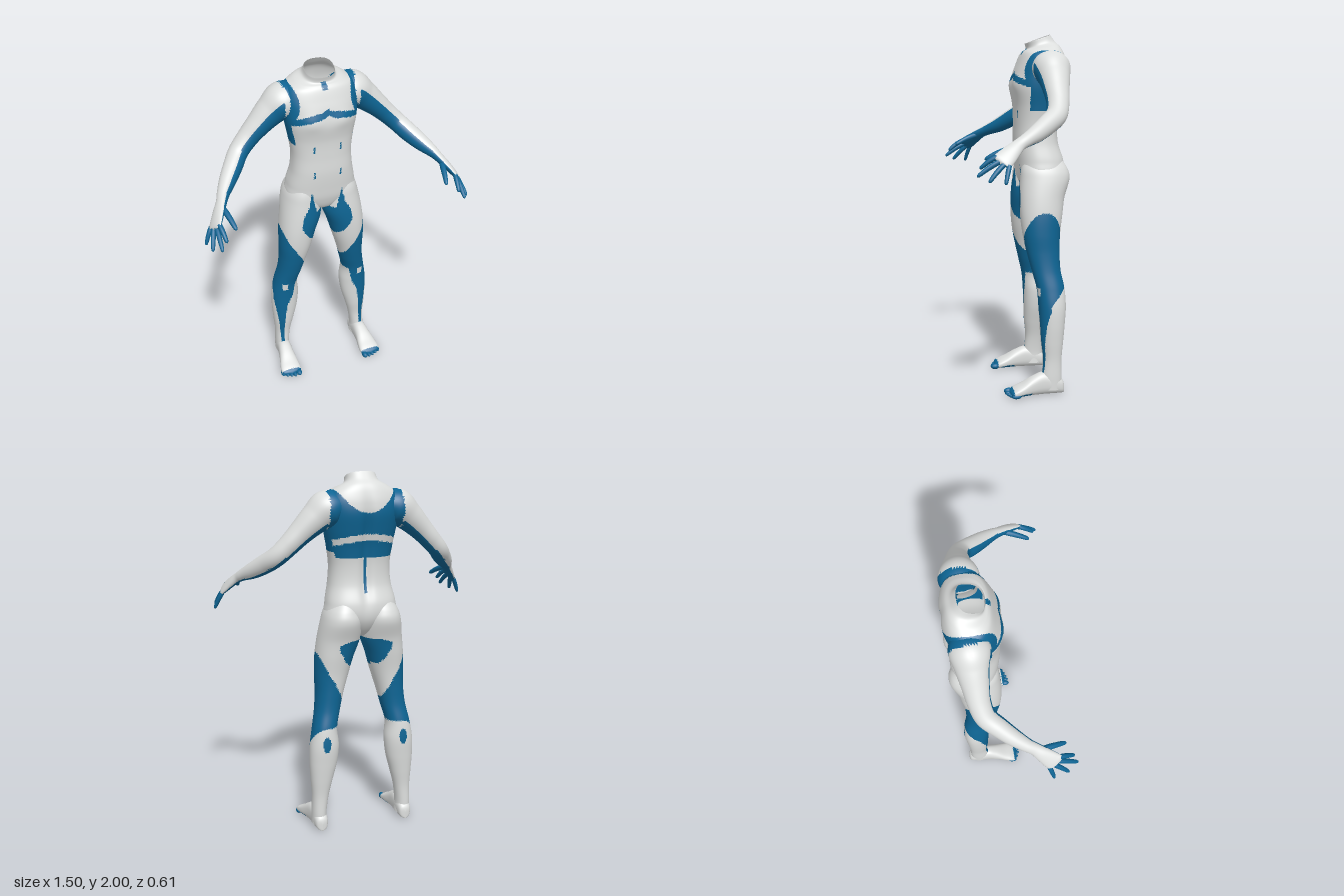
import * as THREE from 'three';

const suitGrey = new THREE.MeshStandardMaterial({ color: 0xdcdedd, side: THREE.DoubleSide });
suitGrey.name = 'suitGrey';
const suitBlue = new THREE.MeshStandardMaterial({ color: 0x0e6594, side: THREE.DoubleSide });
suitBlue.name = 'suitBlue';

const { abs, cos, sin, exp, min, max, sign, pow, PI } = Math;

// Smooth interpolation through rows of key numbers, t in 0..1
function sample(rows, t) {
  const f = t * (rows.length - 1), i = min(Math.floor(f), rows.length - 2), u = f - i;
  const [p, q, r, s] = [-1, 0, 1, 2].map(k => rows[min(max(i + k, 0), rows.length - 1)]);
  return q.map((_, k) => q[k] + 0.5 * u * (r[k] - p[k] + u * (2 * p[k] - 5 * q[k] + 4 * r[k] - s[k]
    + u * (3 * (q[k] - r[k]) + s[k] - p[k]))));
}

// Straight interpolation in a table of [input, output]
function table(list, v) {
  if (v <= list[0][0]) return list[0][1];
  for (let i = 1; i < list.length; i++) {
    const [a, b] = list[i - 1], [c, d] = list[i];
    if (v <= c) return b + (d - b) * (v - a) / (c - a);
  }
  return list[list.length - 1][1];
}

const bulge = (v, n) => sign(v) * pow(abs(v), 2 / n);

// Closed skin over rings: point(t, angle) returns [x, y, z]
function skin(rows, cols, point) {
  const pos = [], index = [];
  for (let i = 0; i <= rows; i++) {
    for (let j = 0; j < cols; j++) pos.push(...point(i / rows, j / cols * 2 * PI));
  }
  for (let i = 0; i < rows; i++) {
    for (let j = 0; j < cols; j++) {
      const a = i * cols + j, b = i * cols + (j + 1) % cols;
      index.push(a, a + cols, b, b, a + cols, b + cols);
    }
  }
  const g = new THREE.BufferGeometry();
  g.setAttribute('position', new THREE.Float32BufferAttribute(pos, 3));
  g.setIndex(index);
  g.computeVertexNormals();
  return g;
}

// Limb along a path; rows are [x, y, z, thickness radius, width radius], width lies toward z
function limb(path, rows, cols) {
  const zAxis = new THREE.Vector3(0, 0, 1);
  return skin(rows, cols, (t, th) => {
    const c = sample(path, t);
    const p = sample(path, max(0, t - 0.01)), q = sample(path, min(1, t + 0.01));
    const tan = new THREE.Vector3(q[0] - p[0], q[1] - p[1], q[2] - p[2]).normalize();
    const b = zAxis.clone().addScaledVector(tan, -tan.z).normalize();
    const a = tan.clone().cross(b);
    const v = new THREE.Vector3(c[0], c[1], c[2])
      .addScaledVector(a, max(0, c[3]) * cos(th)).addScaledVector(b, max(0, c[4]) * sin(th));
    return [v.x, v.y, v.z];
  });
}

// Sort triangles into grey and blue groups by a rule on centre and normal
function paint(g, rule) {
  const P = g.attributes.position, idx = g.index.array, sets = [[], []];
  const A = new THREE.Vector3(), B = new THREE.Vector3(), C = new THREE.Vector3();
  for (let i = 0; i < idx.length; i += 3) {
    A.fromBufferAttribute(P, idx[i]); B.fromBufferAttribute(P, idx[i + 1]); C.fromBufferAttribute(P, idx[i + 2]);
    const m = A.clone().add(B).add(C).divideScalar(3);
    const n = B.sub(A).cross(C.sub(A)).normalize();
    sets[rule(abs(m.x), m.y, m.z, n) ? 1 : 0].push(idx[i], idx[i + 1], idx[i + 2]);
  }
  g.setIndex([...sets[0], ...sets[1]]);
  g.addGroup(0, sets[0].length, 0);
  g.addGroup(sets[0].length, sets[1].length, 1);
  return g;
}

function mirrored(g) {
  const m = g.clone().scale(-1, 1, 1), a = m.index.array;
  for (let i = 0; i < a.length; i += 3) [a[i], a[i + 2]] = [a[i + 2], a[i]];
  return m;
}

// Chest straps, chest band, back yoke and small marks
function torsoBlue(a, y, z, n) {
  if (z > -0.12 && n.z > 0) {
    if (abs(y - 1.765 + 0.035 * (a / 0.17) ** 2 - 0.015 * exp(-((a / 0.02) ** 2))) < 0.017 && a < 0.2) return true;
    if (a < 0.014 && y > 1.89 && y < 1.925) return true;
    if (abs(a - 0.075) < 0.004 && (abs(y - 1.56) < 0.02 || abs(y - 1.4) < 0.02)) return true;
  }
  if (z > -0.2 && y > 1.72 && abs(a - 0.162 - 3.5 * (y - 1.83) ** 2) < 0.02) return true;
  if (z <= -0.07 && z > -0.2 && a > 0.16 && a < 0.24 && y > 1.58 && y < 1.74) return true;
  if (z <= -0.2) {
    if (a < 0.006 && y > 1.36 && y < 1.56) return true;
    const top = 1.79 + 0.13 * (a / 0.17) ** 2, band = 1.66 - 0.04 * (a / 0.2) ** 2;
    return a < 0.205 && y < top && y > 1.55 && abs(y - band) > 0.018;
  }
  return false;
}

// Inner thigh patch, reaching up to a point beside the groin
const patchWidth = [[0.92, 0.05], [0.98, 0.11], [1.05, 0.15], [1.12, 0.145], [1.19, 0.105], [1.28, 0.088]];
function thighBlue(a, y, z) {
  if (y < 0.93 || y > 1.28 || a > table(patchWidth, y)) return false;
  if (z < -0.16) return y < 1.1 - 3 * max(0, a - 0.07) ** 2 && y > 0.95;
  return y < 1.145 || a > 0.06 + 0.2 * (y - 1.145);
}

// Knee wrap, shin stripe and calf oval
const stripeWidth = [[0.12, 0.009], [0.25, 0.013], [0.4, 0.03], [0.5, 0.043]];
function legBlue(a, y, z, n) {
  if (thighBlue(a, y, z)) return true;
  if (n.z > 0.3 && abs(a - 0.24) < 0.016 && abs(y - 0.585) < 0.022) return false;
  if (n.z > 0.2 && y > 0.12 && y < 0.52 && abs(a - 0.262) < table(stripeWidth, y)) return true;
  if (n.z < 0 && ((a - 0.225) / 0.022) ** 2 + ((y - 0.52) / 0.045) ** 2 < 1) return true;
  const inner = 0.045 + (1 - y) * 0.27, s = min(1, max(0, (a - inner) / (0.255 - inner)));
  const top = 0.74 + 0.24 * s + 0.06 * s ** 8;
  const bottom = min(0.61, 0.44 + max(0, -0.11 - z) * 1.2 + max(0, -n.x) * 0.25);
  return y < top && y > bottom;
}

// Underside of arm and palm
const armBlue = (a, y, z, n) => (a > 0.21 && -0.55 * n.x - 0.7 * n.y + 0.45 * n.z > 0.05) || (a < 0.24 && torsoBlue(a, y, z, n));

// Torso rows: height, half width, front z, back z, rim tilt
const torsoRows = [
  [1.11, 0.02, -0.12, -0.19, 0], [1.15, 0.09, -0.06, -0.24, 0], [1.22, 0.195, -0.03, -0.28, 0],
  [1.30, 0.195, -0.018, -0.285, 0], [1.40, 0.175, -0.01, -0.255, 0], [1.50, 0.168, -0.012, -0.25, 0],
  [1.60, 0.18, -0.01, -0.262, 0], [1.70, 0.197, 0.003, -0.285, 0], [1.78, 0.205, -0.01, -0.30, 0],
  [1.84, 0.207, -0.03, -0.297, 0], [1.89, 0.185, -0.05, -0.285, 0], [1.92, 0.14, -0.065, -0.268, 0.1],
  [1.942, 0.092, -0.08, -0.24, 0.25], [1.975, 0.08, -0.075, -0.212, 0.36]];
const torso = skin(130, 150, (t, th) => {
  const [y, w, zf, zb, tilt] = sample(torsoRows, t);
  const x = w * bulge(cos(th), 2.5), zc = (zf + zb) / 2;
  let z = zc + (zf - zb) / 2 * bulge(sin(th), 2.5);
  const a = abs(x);
  if (sin(th) > 0) z += 0.009 * exp(-(((a - 0.09) / 0.06) ** 2) - ((y - 1.73) / 0.045) ** 2);
  else z += 0.02 * exp(-((x / 0.03) ** 2) - ((y - 1.55) / 0.28) ** 4);
  return [x, y - tilt * (z - zc), z];
});

// Leg rows: height, inner x, outer x, front z, back z
const legRows = [
  [0.03, 0.21, 0.295, -0.12, -0.235], [0.1, 0.213, 0.295, -0.122, -0.235], [0.2, 0.2, 0.293, -0.13, -0.235],
  [0.3, 0.175, 0.3, -0.12, -0.245], [0.4, 0.15, 0.305, -0.115, -0.255], [0.5, 0.14, 0.302, -0.11, -0.262],
  [0.6, 0.148, 0.285, -0.1, -0.255], [0.7, 0.125, 0.265, -0.075, -0.237], [0.8, 0.1, 0.256, -0.05, -0.235],
  [0.9, 0.07, 0.256, -0.03, -0.24], [1, 0.042, 0.252, -0.02, -0.255], [1.1, 0.008, 0.24, -0.018, -0.272],
  [1.2, 0.006, 0.222, -0.025, -0.303], [1.26, 0.02, 0.203, -0.032, -0.293], [1.32, 0.04, 0.165, -0.05, -0.255]];
const leg = skin(150, 80, (t, th) => {
  const [y, x0, x1, zf, zb] = sample(legRows, t);
  return [(x0 + x1) / 2 + (x1 - x0) / 2 * bulge(cos(th), 2.2), y, (zf + zb) / 2 + (zf - zb) / 2 * bulge(sin(th), 2.2)];
});

// Foot rows: z, centre x, half width, height
const footRows = [
  [-0.25, 0.252, 0, 0.04], [-0.24, 0.252, 0.03, 0.075], [-0.2, 0.253, 0.04, 0.105], [-0.13, 0.255, 0.042, 0.125],
  [-0.07, 0.259, 0.047, 0.105], [-0.01, 0.263, 0.058, 0.07], [0.03, 0.265, 0.062, 0.05], [0.055, 0.265, 0.052, 0.034],
  [0.065, 0.265, 0, 0.02]];
const foot = skin(40, 36, (t, th) => {
  const [z, cx, w, h] = sample(footRows, t);
  return [cx + max(0, w) * bulge(cos(th), 2.4), 0.004 + h / 2 - h / 2 * bulge(sin(th), 2.6), z];
});
const footBlue = (a, y, z, n) => z > 0.045 || (n.y < -0.5 && z > -0.06 && z < 0.03);

const arm = limb([
  [0.11, 1.83, -0.18, 0.06, 0.08], [0.19, 1.81, -0.18, 0.098, 0.105], [0.262, 1.757, -0.18, 0.082, 0.086],
  [0.335, 1.69, -0.175, 0.066, 0.07], [0.4, 1.625, -0.168, 0.057, 0.06], [0.46, 1.565, -0.145, 0.053, 0.056],
  [0.51, 1.518, -0.085, 0.052, 0.052], [0.56, 1.477, -0.02, 0.045, 0.045], [0.6, 1.447, 0.04, 0.033, 0.036],
  [0.622, 1.426, 0.08, 0.026, 0.034], [0.648, 1.398, 0.118, 0.023, 0.042], [0.676, 1.364, 0.16, 0.018, 0.05],
  [0.69, 1.346, 0.183, 0.012, 0.046], [0.695, 1.34, 0.19, 0, 0]], 120, 48);

// Fingers: root, tip, radius
const fingers = {
  thumb: [[0.625, 1.41, 0.115], [0.593, 1.352, 0.25], 0.015],
  indexFinger: [[0.668, 1.372, 0.2], [0.655, 1.312, 0.285], 0.013],
  middleFinger: [[0.682, 1.354, 0.18], [0.685, 1.275, 0.303], 0.013],
  ringFinger: [[0.692, 1.341, 0.163], [0.725, 1.25, 0.25], 0.013],
  littleFinger: [[0.702, 1.33, 0.145], [0.743, 1.24, 0.17], 0.012],
};
function finger([p, q, r]) {
  const keys = [[0, 1], [0.3, 1.05], [0.6, 0.95], [0.85, 0.8], [0.96, 0.55], [1, 0]];
  return limb(keys.map(([u, k]) => [...p.map((v, i) => v + (q[i] - v) * u + (i === 1 ? 0.006 * sin(PI * u) : 0)), r * k, r * k]), 16, 12);
}

export function createModel() {
  const model = new THREE.Group();
  model.name = 'body';
  const add = (name, g, mat) => {
    const m = new THREE.Mesh(g, mat);
    m.name = name;
    model.add(m);
  };
  const pair = (name, g, mat) => {
    add('left' + name, g, mat);
    add('right' + name, mirrored(g), mat);
  };
  const both = [suitGrey, suitBlue];
  add('torso', paint(torso, (a, y, z, n) => torsoBlue(a, y, z, n) || thighBlue(a, y, z)), both);
  pair('Leg', paint(leg, legBlue), both);
  pair('Foot', paint(foot, footBlue), both);
  pair('Arm', paint(arm, armBlue), both);
  for (const [name, f] of Object.entries(fingers)) pair(name[0].toUpperCase() + name.slice(1), finger(f), suitBlue);
  // Toes, big toe on the inside
  for (let i = 0; i < 5; i++) {
    const r = i === 0 ? 0.017 : 0.012;
    const toe = new THREE.SphereGeometry(1, 12, 8).scale(r, r, 0.027)
      .translate(0.222 + i * 0.023 + (i ? 0.004 : 0), r + 0.003, 0.062 - i * i * 0.0018);
    pair('Toe' + (i + 1), toe, suitBlue);
  }
  return model;
}
